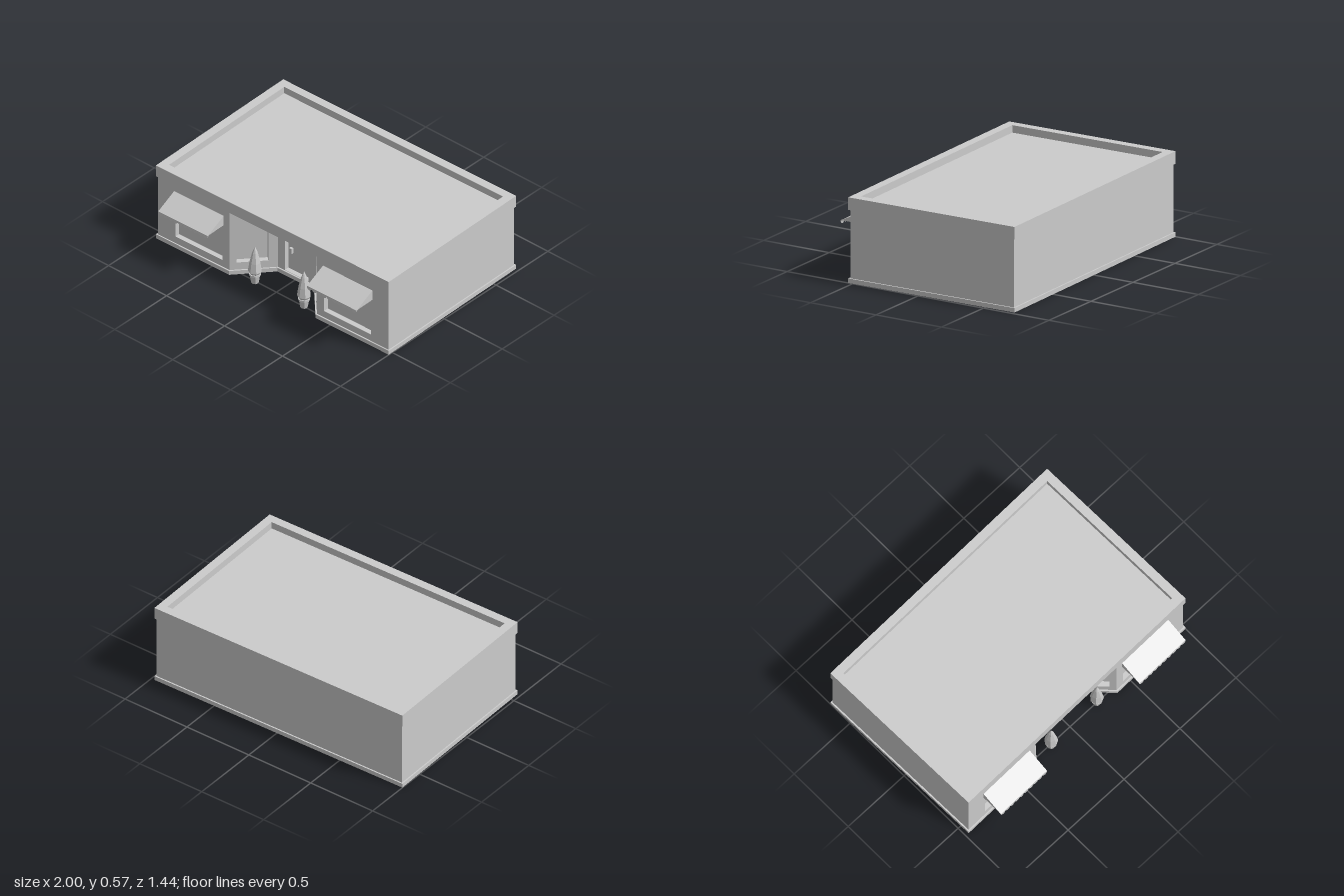
import * as THREE from 'three';

const HALF_W = 0.9775, HALF_D = 0.6175; // wall faces
const WALL_TOP = 0.49, TOP = 0.575, ROOF = 0.525, LIP = 0.01;
const REVEAL = 0.04; // depth of window and door openings

const solid = new THREE.MeshStandardMaterial({ color: 0xcccccc, flatShading: true });
const sheet = new THREE.MeshStandardMaterial({ color: 0xcccccc, flatShading: true, side: THREE.DoubleSide });

function add(parent, name, geometry, material = solid) {
  const mesh = new THREE.Mesh(geometry, material);
  mesh.name = name;
  parent.add(mesh);
  return mesh;
}

const points = (list) => list.map(([x, y]) => new THREE.Vector2(x, y));
const rect = (x0, x1, y0, y1) => points([[x0, y0], [x1, y0], [x1, y1], [x0, y1]]);

function shapeWithHoles(outer, holes = []) {
  const shape = new THREE.Shape(outer);
  shape.holes = holes.map((h) => new THREE.Path(h));
  return shape;
}

const extrude = (shape, depth) => new THREE.ExtrudeGeometry(shape, { depth, bevelEnabled: false });

// Entrance recess in plan (x, z), pushed outwards by o
function recess(o = 0) {
  const m = 0.44 * o, front = HALF_D + o, back = HALF_D - 0.23 + o;
  return [[-0.37 + m, front], [-0.16 + m, back], [0.16 - m, back], [0.37 - m, front]];
}

// Whole plan, anticlockwise from above, starting at the front left corner
function plan(o = 0) {
  const w = HALF_W + o, d = HALF_D + o;
  return [[-w, d], ...recess(o), [w, d], [w, -d], [-w, -d]];
}

// Lay an extruded or flat plan shape (x, z) at height y
function layFlat(geometry, y) {
  return geometry.rotateX(-Math.PI / 2).translate(0, y, 0);
}
const flip = (list) => points(list.map(([x, z]) => [x, -z]));

// Wall from plan point a to b, with an optional framed opening
function wall(parent, name, a, b, opening) {
  const g = new THREE.Group();
  g.name = name;
  const dx = b[0] - a[0], dz = b[1] - a[1];
  g.position.set(a[0], 0, a[1]);
  g.rotation.y = Math.atan2(-dz, dx);
  parent.add(g);
  const holes = opening ? [rect(...opening.size)] : [];
  add(g, name + 'Surface', new THREE.ShapeGeometry(
    shapeWithHoles(rect(0, Math.hypot(dx, dz), 0, WALL_TOP), holes)), sheet);
  if (opening) {
    const [u0, u1, y0, y1] = opening.size, t = 0.01;
    const frame = shapeWithHoles(rect(u0 - t, u1 + t, y0 - t, y1 + t), holes);
    add(g, opening.name + 'Frame', extrude(frame, REVEAL)).position.z = -REVEAL - 0.001;
    const pane = add(g, opening.name, new THREE.ShapeGeometry(shapeWithHoles(rect(u0, u1, y0, y1))), sheet);
    pane.position.z = -REVEAL + 0.003;
  }
  return g;
}

function makeAwning(name) {
  const g = new THREE.Group();
  g.name = name;
  const w = 0.42, reach = 0.157, high = 0.435, low = 0.36;
  // Sloping canopy; the profile is (z, y), swept along x
  const canopy = extrude(shapeWithHoles(points(
    [[0, high - 0.007], [reach, low - 0.006], [reach, low], [0, high]])), w);
  canopy.rotateY(-Math.PI / 2).translate(w / 2, 0, 0);
  add(g, 'canopy', canopy);
  // Triangular cheeks
  for (const side of [-1, 1]) {
    const cheek = new THREE.ShapeGeometry(shapeWithHoles(points([[0, low], [reach, low], [0, high]])));
    cheek.rotateY(-Math.PI / 2).translate(side * (w / 2 - 0.001), 0, 0);
    add(g, 'canopyCheek', cheek, sheet);
  }
  // Scalloped valance
  const n = 10, step = w / n;
  const valance = new THREE.Shape();
  valance.moveTo(w / 2, 0);
  valance.lineTo(-w / 2, 0);
  valance.lineTo(-w / 2, -0.01);
  for (let i = 0; i < n; i++) {
    const x = -w / 2 + i * step;
    valance.quadraticCurveTo(x + step / 2, -0.038, x + step, -0.01);
  }
  const trim = add(g, 'valance', extrude(valance, 0.004).translate(0, 0, -0.004));
  trim.position.set(0, low, reach);
  trim.rotation.x = -0.15;
  return g;
}

function makePottedTree(name) {
  const g = new THREE.Group();
  g.name = name;
  add(g, 'pot', new THREE.LatheGeometry(points(
    [[0, 0], [0.025, 0], [0.034, 0.058], [0.04, 0.058], [0.04, 0.072], [0, 0.072]]), 8));
  add(g, 'foliage', new THREE.LatheGeometry(points(
    [[0, 0.068], [0.03, 0.068], [0.046, 0.09], [0.036, 0.16], [0.018, 0.235], [0, 0.28]]), 7));
  return g;
}

export function createModel() {
  const model = new THREE.Group();
  model.name = 'shop';
  const b = new THREE.Group();
  b.name = 'building';
  b.rotation.y = 0.019; // slightly turned on its plot
  b.position.z = -0.075;
  model.add(b);

  // Walls all round, with shop windows and the entrance
  const p = plan();
  wall(b, 'frontWallRight', p[0], p[1], { name: 'shopWindow', size: [0.1475, 0.5475, 0.08, 0.4] });
  wall(b, 'entranceSideRight', p[1], p[2], { name: 'sideWindow', size: [0.044, 0.25, 0.085, 0.375] });
  const entrance = wall(b, 'entranceWall', p[2], p[3], { name: 'door', size: [0.058, 0.262, 0.032, 0.375] });
  wall(b, 'entranceSideLeft', p[3], p[4], { name: 'sideWindow', size: [0.061, 0.267, 0.085, 0.375] });
  wall(b, 'frontWallLeft', p[4], p[5], { name: 'shopWindow', size: [0.06, 0.46, 0.08, 0.4] });
  wall(b, 'leftWall', p[5], p[6]);
  wall(b, 'backWall', p[6], p[7]);
  wall(b, 'rightWall', p[7], p[0]);
  add(entrance, 'doorHandle', new THREE.BoxGeometry(0.022, 0.04, 0.02))
    .position.set(0.09, 0.185, -REVEAL + 0.012);

  // Plinth following the plan
  add(b, 'plinth', layFlat(extrude(shapeWithHoles(flip(plan(LIP)), [flip(plan(-0.001))]), 0.03), 0));

  // Parapet band, roof deck and entrance soffit
  const w = HALF_W + LIP, d = HALF_D + LIP, t = 0.06;
  const band = shapeWithHoles(rect(-w, w, -d, d), [rect(-w + t, w - t, -d + t, d - t)]);
  add(b, 'parapet', layFlat(extrude(band, TOP - WALL_TOP), WALL_TOP));
  add(b, 'roofDeck', layFlat(new THREE.PlaneGeometry(2 * (w - t), 2 * (d - t)), ROOF), sheet);
  add(b, 'entranceSoffit', layFlat(new THREE.ShapeGeometry(shapeWithHoles(flip(recess()))), WALL_TOP - 0.001), sheet);

  // Awnings and potted trees on both sides of the entrance
  for (const [side, label] of [[-1, 'right'], [1, 'left']]) {
    const awning = makeAwning(label + 'Awning');
    awning.position.set(side * 0.631, 0, HALF_D);
    b.add(awning);
    const tree = makePottedTree(label + 'PottedTree');
    tree.position.set(side * 0.208 + 0.02, 0, 0.58);
    b.add(tree);
  }
  return model;
}
